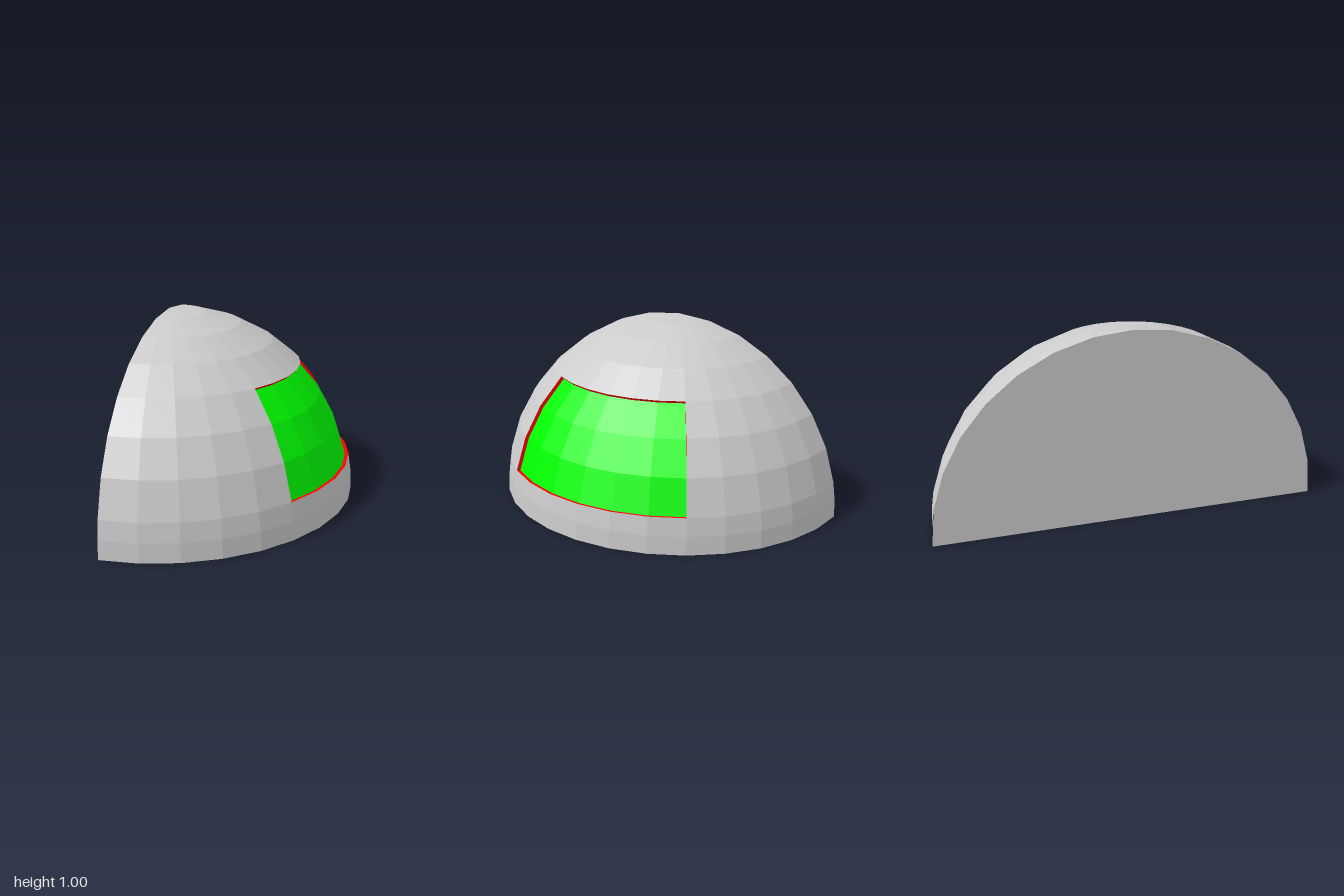
import * as THREE from 'three';
import { mergeGeometries } from 'three/addons/utils/BufferGeometryUtils.js';

const STEP = Math.PI / 16; // one facet of the dome
const INNER = 0.98;

function part(name, geometry, color = 0xcccccc, side = THREE.FrontSide) {
  const material = new THREE.MeshStandardMaterial({ color, side, flatShading: true });
  const mesh = new THREE.Mesh(geometry, material);
  mesh.name = name;
  return mesh;
}

// Dome patch in facet units: columns run 0..16 round the half, rows 0..8 from the top
function patch(col, cols, row, rows, radius = 1) {
  return new THREE.SphereGeometry(radius, cols, rows,
    Math.PI / 2 + col * STEP, cols * STEP, row * STEP, rows * STEP);
}

function domePoint(col, row, radius) {
  const phi = Math.PI / 2 + col * STEP, theta = row * STEP;
  return [-radius * Math.cos(phi) * Math.sin(theta), radius * Math.cos(theta),
    radius * Math.sin(phi) * Math.sin(theta)];
}

// Narrow wall round the window opening, from the outer to the inner dome
function windowFrame() {
  const loop = [];
  for (let c = 5; c < 11; c++) loop.push([c, 4]);
  for (let r = 4; r < 7; r++) loop.push([11, r]);
  for (let c = 11; c > 5; c--) loop.push([c, 7]);
  for (let r = 7; r > 4; r--) loop.push([5, r]);
  const positions = [], index = [], n = loop.length;
  loop.forEach(([c, r], i) => {
    positions.push(...domePoint(c, r, 1), ...domePoint(c, r, INNER));
    const a = 2 * i, b = 2 * ((i + 1) % n);
    index.push(a, a + 1, b, b, a + 1, b + 1);
  });
  const geometry = new THREE.BufferGeometry();
  geometry.setAttribute('position', new THREE.Float32BufferAttribute(positions, 3));
  geometry.setIndex(index);
  geometry.computeVertexNormals();
  return geometry;
}

const outline = points => points.map(([x, z]) => new THREE.Vector2(x, z));

// Pocket sunk upwards into the base, seen from its inside
function pocket(name, points, depth, color) {
  const geometry = new THREE.ExtrudeGeometry(new THREE.Shape(points), { depth, bevelEnabled: false });
  geometry.translate(0, 0, -depth);
  geometry.rotateX(Math.PI / 2);
  return part(name, geometry, color, THREE.BackSide);
}

export function createModel() {
  const model = new THREE.Group();
  model.name = 'halfDome';

  // Outer shell, left open at the window
  model.add(part('outerDome', mergeGeometries([
    patch(0, 16, 0, 4), patch(0, 5, 4, 3), patch(11, 5, 4, 3), patch(0, 16, 7, 1),
  ])));

  // Inner shell showing through the window, and the frame between the two
  model.add(part('windowPane', patch(0, 16, 0, 8, INNER), 0x00ff00));
  model.add(part('windowFrame', windowFrame(), 0xff0000, THREE.DoubleSide));

  // Flat back wall
  const wall = new THREE.CircleGeometry(1, 16, 0, Math.PI);
  wall.rotateY(-Math.PI / 2);
  model.add(part('backWall', wall));

  // Base with three pockets
  const base = new THREE.Shape();
  for (let i = 0; i <= 16; i++) {
    const a = -Math.PI / 2 + i * STEP;
    if (i === 0) base.moveTo(Math.cos(a), Math.sin(a));
    else base.lineTo(Math.cos(a), Math.sin(a));
  }
  const slot = [[0.23, 0.42], [0.28, 0.4], [0.325, 0.52], [0.37, 0.65], [0.32, 0.67], [0.275, 0.54]];
  const pockets = [
    ['leftSlot', outline(slot), 0.02, 0xffff00],
    ['rightSlot', outline(slot.map(([x, z]) => [x, -z]).reverse()), 0.02, 0xffff00],
    ['socket', outline([[0.135, -0.08], [0.24, -0.08], [0.24, 0.08], [0.135, 0.08]]), 0.04, 0x0000ff],
  ];
  for (const [name, points, depth, color] of pockets) {
    base.holes.push(new THREE.Path(points));
    model.add(pocket(name, points, depth, color));
  }
  const floor = new THREE.ShapeGeometry(base);
  floor.rotateX(Math.PI / 2);
  model.add(part('base', floor));

  // Small knob inside the socket
  const knob = part('knob', new THREE.SphereGeometry(0.02, 8, 6));
  knob.position.set(0.19, 0.022, 0);
  model.add(knob);

  // Centre the half dome on x
  model.children.forEach(mesh => { mesh.position.x -= 0.5; });
  return model;
}
